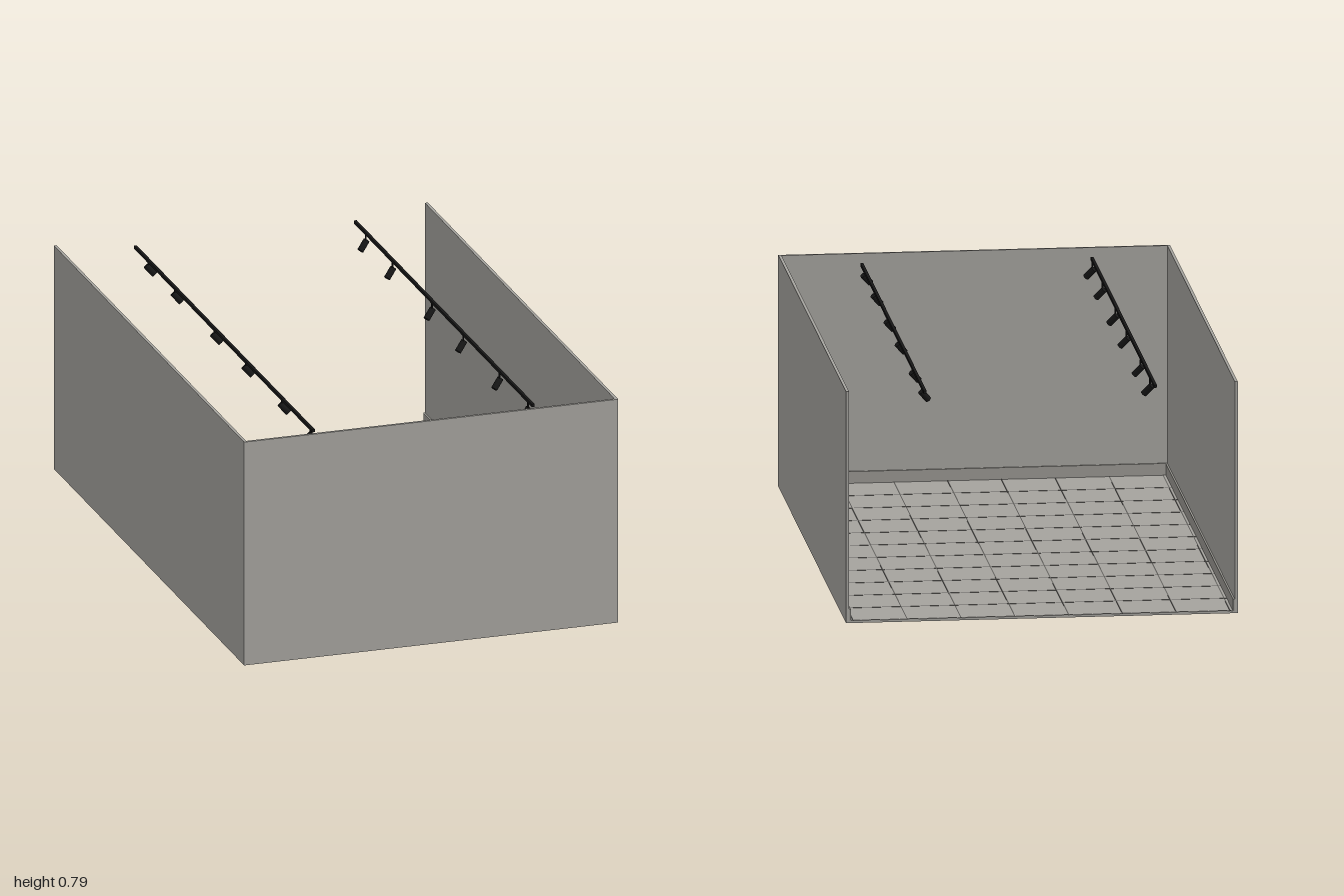
import * as THREE from 'three';

export function createModel() {
  const room = new THREE.Group();
  room.name = 'room';

  const mat = (name, color) => {
    const m = new THREE.MeshStandardMaterial({ color });
    m.name = name;
    return m;
  };
  const wallGrey = mat('wall grey', 0xa5a39e);
  const floorGrey = mat('floor grey', 0xa4a29d);
  const skirtingGrey = mat('skirting grey', 0x999791);
  const groutGrey = mat('grout grey', 0x5c5b58);
  const black = mat('fixture black', 0x161616);

  const box = (name, material, size, pos, parent = room) => {
    const mesh = new THREE.Mesh(new THREE.BoxGeometry(...size), material);
    mesh.name = name;
    mesh.position.set(...pos);
    parent.add(mesh);
    return mesh;
  };

  const W = 0.655, H = 0.79, T = 0.01, FLOOR = 0.008;
  const inner = W - T, front = 1 - T;

  // Shell: floor, two side walls and the front wall; back and top stay open
  box('floor', floorGrey, [inner * 2, FLOOR, 2 - T], [0, FLOOR / 2, -T / 2]);
  box('frontWall', wallGrey, [W * 2, H, T], [0, H / 2, 1 - T / 2]);
  for (const [side, s] of [['left', 1], ['right', -1]]) {
    box(side + 'Wall', wallGrey, [T, H, 2 - T], [s * (W - T / 2), H / 2, -T / 2]);
    box(side + 'Skirting', skirtingGrey, [0.006, 0.04, 2 - T],
      [s * (inner - 0.003), FLOOR + 0.02, -T / 2]);
  }
  box('frontSkirting', skirtingGrey, [inner * 2 - 0.012, 0.04, 0.006],
    [0, FLOOR + 0.02, front - 0.003]);

  // Grout lines between the square floor tiles
  const grout = new THREE.Group();
  grout.name = 'tileGrout';
  room.add(grout);
  const tile = 0.18, line = 0.0035, groutY = FLOOR + 0.0002;
  for (let k = -3; k <= 4; k++) {
    box('lengthwiseGrout', groutGrey, [line, 0.001, 2 - T], [(k - 0.5) * tile, groutY, -T / 2], grout);
  }
  for (let k = -5; k <= 5; k++) {
    box('crosswiseGrout', groutGrey, [inner * 2, 0.0012, line], [0, groutY, -0.095 + k * tile], grout);
  }

  // Spotlight rails with heads aimed inward and down
  const railY = 0.77, railX = 0.385;
  const headGeometry = new THREE.CylinderGeometry(0.011, 0.011, 0.042, 16);
  const stemGeometry = new THREE.CylinderGeometry(0.003, 0.003, 0.035, 8);
  const up = new THREE.Vector3(0, 1, 0);
  for (const [side, s] of [['left', 1], ['right', -1]]) {
    const track = new THREE.Group();
    track.name = side + 'LightTrack';
    room.add(track);
    box('rail', black, [0.01, 0.01, 1.87], [s * railX, railY, -0.018], track);
    for (const z of [-0.83, -0.55, -0.135, 0.195, 0.575, 0.875]) {
      const stem = new THREE.Mesh(stemGeometry, black);
      stem.name = 'spotStem';
      stem.position.set(s * (railX - 0.004), railY - 0.02, z);
      const head = new THREE.Mesh(headGeometry, black);
      head.name = 'spotHead';
      head.position.set(s * (railX - 0.012), railY - 0.04, z);
      const aim = new THREE.Vector3(-s * 0.62, -0.72, 0.3).normalize();
      head.quaternion.setFromUnitVectors(up, aim.negate());
      track.add(stem, head);
    }
  }
  return room;
}
